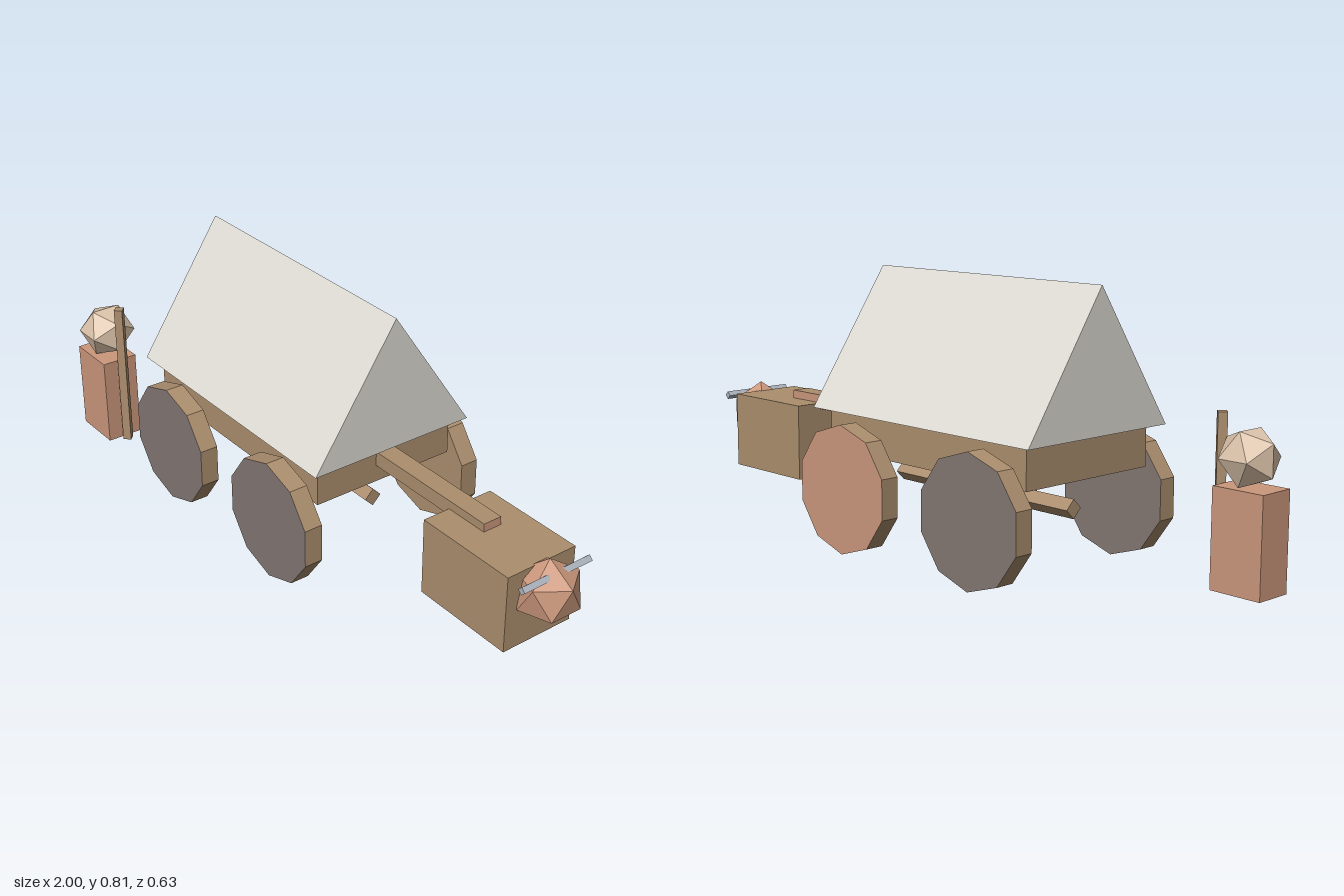
import * as THREE from 'three';

const mat = (name, color) => {
  const m = new THREE.MeshStandardMaterial({ color });
  m.name = name;
  return m;
};

export function createModel() {
  const group = new THREE.Group();
  const brown = mat('wood brown', 0xab8e6e);
  const clay = mat('terracotta', 0xcb977c);
  const grey = mat('wheel grey', 0x827773);
  const canvas = mat('canvas', 0xdddbd3);
  const steel = mat('steel', 0xaeb4be);
  const skin = mat('skin', 0xdcc3aa);

  const add = (name, geometry, material, x, y, z) => {
    // unshared corners give crisp facets
    const flat = geometry.index ? geometry.toNonIndexed() : geometry;
    if (flat !== geometry) geometry.groups.forEach(g => flat.addGroup(g.start, g.count, g.materialIndex));
    flat.computeVertexNormals();
    const mesh = new THREE.Mesh(flat, material);
    mesh.name = name;
    mesh.position.set(x, y, z);
    group.add(mesh);
    return mesh;
  };
  const box = (name, w, h, d, material, x, y, z) =>
    add(name, new THREE.BoxGeometry(w, h, d), material, x, y, z);
  const pole = (name, r, length, material, x, y, z) =>
    add(name, new THREE.CylinderGeometry(r, r, length, 4), material, x, y, z);

  // Wagon bed and the beam beneath it
  box('wagonBed', 0.8, 0.12, 0.474, brown, -0.16, 0.345, 0);
  pole('underBeam', 0.028, 0.7, brown, -0.16, 0.193, 0).rotation.z = Math.PI / 2;

  // Ridged canvas cover: a triangle swept along x
  const gable = new THREE.Shape([
    new THREE.Vector2(-0.272, 0), new THREE.Vector2(0.272, 0), new THREE.Vector2(0, 0.403),
  ]);
  const cover = new THREE.ExtrudeGeometry(gable, { depth: 0.88, bevelEnabled: false });
  cover.rotateY(Math.PI / 2);
  add('canvasCover', cover, canvas, -0.6, 0.406, 0);

  // Ten-sided wheels: rim, inner or outer caps coloured per wheel
  const wheels = [
    ['frontRightWheel', -0.42, 0.285, grey, grey],
    ['frontLeftWheel', 0.105, 0.285, grey, grey],
    ['backRightWheel', -0.42, -0.285, grey, grey],
    ['backLeftWheel', 0.105, -0.285, brown, clay],
  ];
  for (const [name, x, z, capFront, capBack] of wheels) {
    const wheel = new THREE.CylinderGeometry(0.19, 0.19, 0.058, 10);
    add(name, wheel, [brown, capFront, capBack], x, 0.192, z).rotation.x = Math.PI / 2;
  }

  // Drawbar; face order is +x, -x, +y, -y, +z, -z
  box('drawbar', 0.5, 0.045, 0.06, [clay, brown, brown, brown, brown, clay], 0.445, 0.36, 0);

  // Draught animal
  box('animalBody', 0.33, 0.236, 0.236, [brown, brown, brown, clay, brown, brown], 0.72, 0.239, 0);
  add('animalHead', new THREE.IcosahedronGeometry(0.097, 0), clay, 0.913, 0.286, 0).rotation.z = -0.54;
  pole('horns', 0.0125, 0.237, steel, 0.936, 0.346, 0).rotation.x = Math.PI / 2;

  // Driver with staff
  box('driverBody', 0.163, 0.285, 0.117, clay, -0.918, 0.1425, 0.239);
  const head = add('driverHead', new THREE.IcosahedronGeometry(0.088, 0), skin, -0.913, 0.364, 0.235);
  head.rotation.y = Math.PI / 2;
  pole('staff', 0.0185, 0.475, brown, -0.819, 0.2375, 0.238);

  return group;
}
